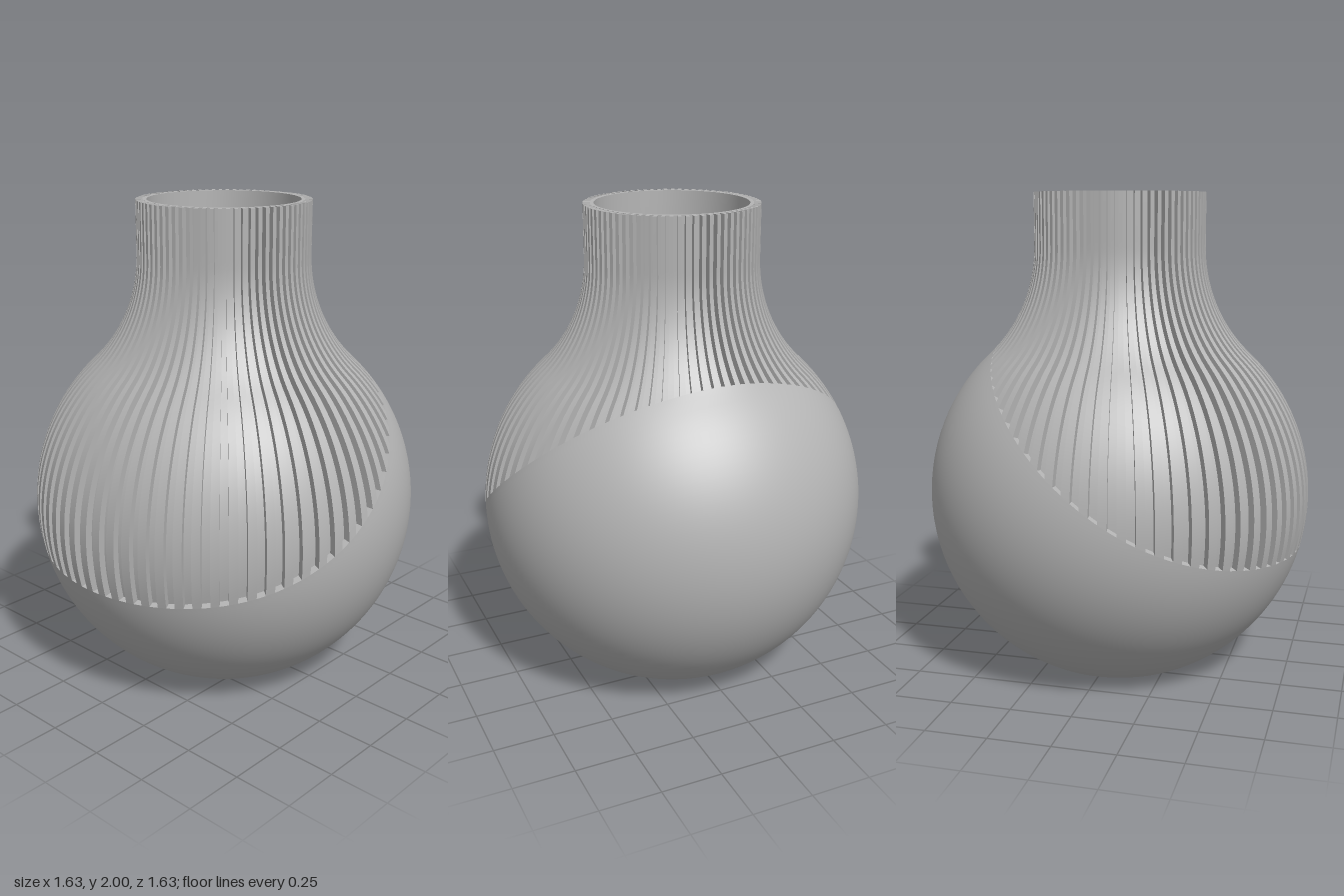
import * as THREE from 'three';
import { mergeGeometries, mergeVertices } from 'three/addons/utils/BufferGeometryUtils.js';

const RIBS = 72, PITCH = (Math.PI * 2) / RIBS, HALF = PITCH / 4;
const DEPTH = 0.03, WALL = 0.045;
const R = 0.815, CY = 0.73;                    // spherical belly
const NECK = 0.36, FY = 1.78, FR = 0.624;      // neck radius, start of neck, fillet radius
const JOIN = Math.atan2(FY - CY, NECK + FR);   // where fillet meets belly
const START = -Math.asin(CY / R);
const lerp = THREE.MathUtils.lerp;

// Vase profile, t = 0 (foot) to 1 (rim), offset inwards by d: returns [radius, y]
function profile(t, d) {
  if (t < 0.65) {
    const a = lerp(START, JOIN, t / 0.65);
    return [(R - d) * Math.cos(a), CY + (R - d) * Math.sin(a)];
  }
  if (t < 0.92) {
    const a = Math.PI + JOIN * (1 - (t - 0.65) / 0.27);
    return [NECK + FR + (FR + d) * Math.cos(a), FY + (FR + d) * Math.sin(a)];
  }
  return [NECK - d, lerp(FY, 2, (t - 0.92) / 0.08)];
}

// Profile parameter where the slanting, slightly curved cut crosses at an angle
function cutAt(angle, d) {
  let lo = 0, hi = 1;
  for (let i = 0; i < 30; i++) {
    const t = (lo + hi) / 2, [r, y] = profile(t, d), x = r * Math.cos(angle);
    if (y < 0.88 + 0.76 * x + 0.4 * x * x) lo = t; else hi = t;
  }
  return lo;
}

const polar = (angle, [r, y]) => [r * Math.cos(angle), y, r * Math.sin(angle)];
// Point on the ribbed part: v runs from the cut up to the rim
const above = (angle, v, d) => polar(angle, profile(lerp(cutAt(angle, d), 1, v), d));

// Grid surface from fn(u, v); front faces dv x du
function grid(fn, nu, nv, weld = false) {
  const pos = [], index = [];
  for (let i = 0; i <= nu; i++)
    for (let j = 0; j <= nv; j++) pos.push(...fn(i / nu, j / nv));
  for (let i = 0; i < nu; i++)
    for (let j = 0; j < nv; j++) {
      const a = i * (nv + 1) + j, b = a + nv + 1;
      index.push(a, a + 1, b, b, a + 1, b + 1);
    }
  let g = new THREE.BufferGeometry();
  g.setAttribute('position', new THREE.Float32BufferAttribute(pos, 3));
  g.setIndex(index);
  if (weld) g = mergeVertices(g, 1e-5);
  g.computeVertexNormals();
  return g;
}

export function createModel() {
  const group = new THREE.Group();
  const grey = new THREE.MeshStandardMaterial({ color: 0xb4b4b4 });
  grey.name = 'grey';
  const add = (name, geometry) => {
    const mesh = new THREE.Mesh(geometry, grey);
    mesh.name = name;
    group.add(mesh);
  };
  const turn = (u) => u * Math.PI * 2 - HALF;

  // Smooth belly below the cut
  add('body', grid((u, v) => {
    const a = turn(u);
    return polar(a, profile(cutAt(a, 0) * v, 0));
  }, RIBS * 2, 36, true));

  // Flat foot
  add('base', grid((u, v) => polar(turn(u), [profile(0, 0)[0] * v, 0]), RIBS * 2, 1));

  // Ribs, recessed grooves and the small steps that end them
  const ribs = [], grooves = [], steps = [], tips = [];
  for (let i = 0; i < RIBS; i++) {
    const a0 = i * PITCH - HALF, a1 = i * PITCH + HALF, a2 = a0 + PITCH;
    ribs.push(
      grid((u, v) => above(a0, v, DEPTH * (1 - u)), 1, 40),
      grid((u, v) => above(lerp(a0, a1, u), v, 0), 1, 40),
      grid((u, v) => above(a1, v, DEPTH * u), 1, 40),
    );
    grooves.push(grid((u, v) => above(lerp(a1, a2, u), v, DEPTH), 1, 40));
    steps.push(grid((u, v) => above(lerp(a1, a2, u), 0, DEPTH * v), 1, 1));
    tips.push(grid((u, v) => polar(lerp(a0, a1, u), [NECK - DEPTH * v, 2]), 1, 1));
  }
  add('ribs', mergeGeometries(ribs));
  add('grooves', mergeGeometries(grooves));
  add('grooveSteps', mergeGeometries(steps));
  add('ribTops', mergeGeometries(tips));

  // Rim and hollow inside with its floor
  add('rim', grid((u, v) => polar(turn(u), [lerp(NECK - DEPTH, NECK - WALL, v), 2]), RIBS * 2, 1));
  add('inside', grid((u, v) => {
    const [r, y] = profile(Math.max(0, (v * 41 - 1) / 40), WALL);
    return polar(-turn(u), [v === 0 ? 0 : r, y]);
  }, RIBS, 41, true));

  return group;
}
